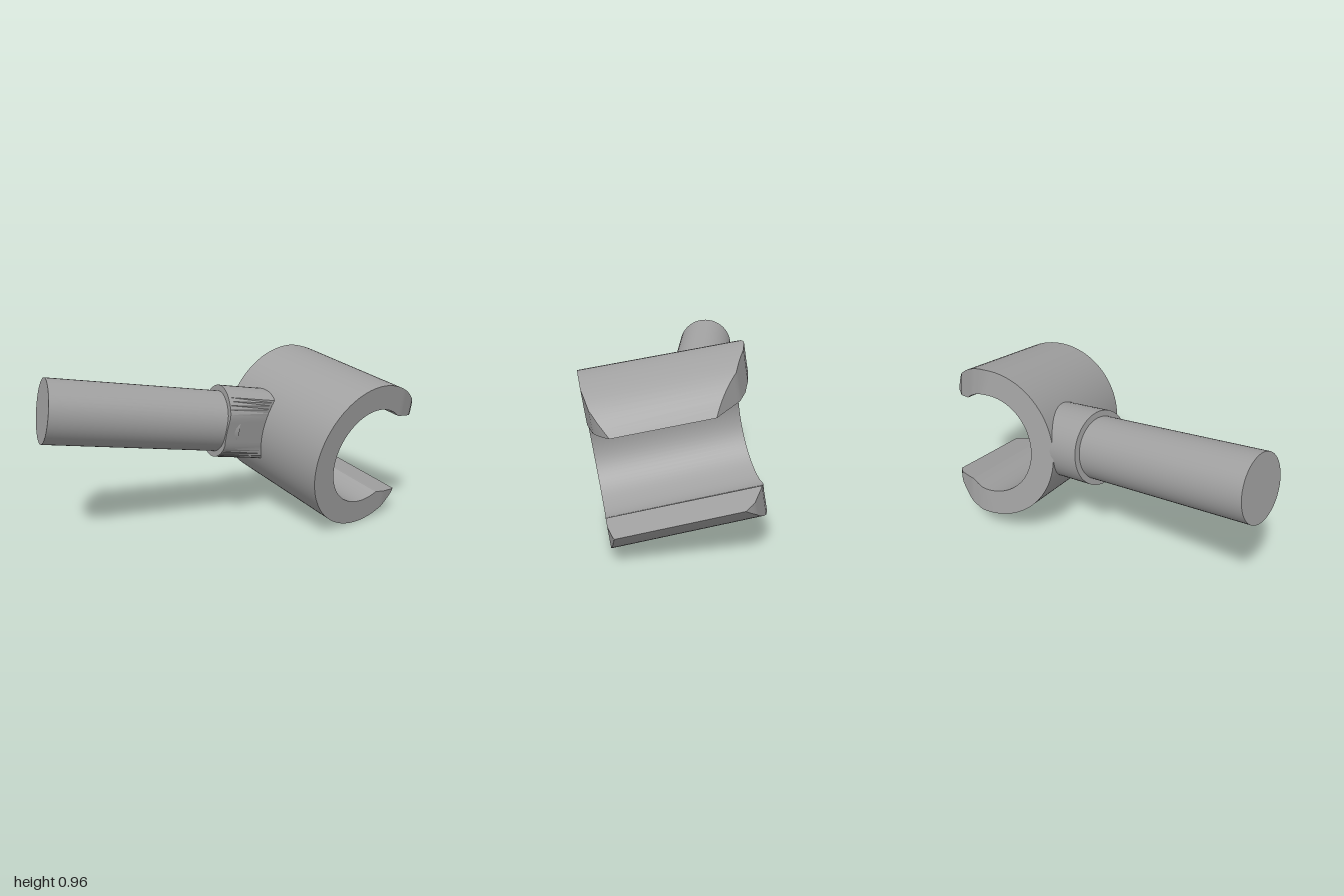
import * as THREE from 'three';
import { toCreasedNormals } from 'three/addons/utils/BufferGeometryUtils.js';

// Piecewise linear lookup in a list of [key, value] points
function lookup(points, k) {
  for (let i = 1; i < points.length; i++) {
    const [k0, a] = points[i - 1], [k1, b] = points[i];
    if (k <= k1) return THREE.MathUtils.mapLinear(Math.max(k, k0), k0, k1, a, b);
  }
  return points[points.length - 1][1];
}

// C-shaped clip, along local x with its gap towards -z; arm ends are trimmed by depth v = -z
function clipGeometry() {
  const R = 0.424, r = 0.284;
  const leftEnd = [[0.03, -0.392], [0.13, -0.36], [0.26, -0.285], [0.385, -0.145]];
  const rightEnd = [[0.2, 0.392], [0.3, 0.375], [0.35, 0.345], [0.385, 0.31]];
  const lowLip = [[0.12, -0.257], [0.31, -0.289]];
  const topLip = [[0.18, 0.22], [0.383, 0.182]];
  const outer = [], inner = [];
  const lipPoint = (lip, sign, t) => {
    const v = THREE.MathUtils.lerp(lip[0][0], lip[1][0], t);
    outer.push([v, sign * Math.sqrt(R * R - v * v)]);
    inner.push(t === 1 ? outer[outer.length - 1] : [v, lookup(lip, v)]);
  };

  const lipSteps = 10, arcSteps = 56;
  for (let i = lipSteps; i > 0; i--) lipPoint(lowLip, -1, i / lipSteps);
  const start = [Math.acos(0.12 / R), Math.acos(0.12 / r)];
  const end = [Math.acos(0.18 / R), Math.acos(0.18 / r)];
  for (let i = 0; i <= arcSteps; i++) {
    [[R, outer], [r, inner]].forEach(([rad, list], k) => {
      const a = THREE.MathUtils.lerp(-start[k], end[k] - 2 * Math.PI, i / arcSteps);
      list.push([rad * Math.cos(a), rad * Math.sin(a)]);
    });
  }
  for (let i = 1; i <= lipSteps; i++) lipPoint(topLip, 1, i / lipSteps);

  const pos = [];
  const at = ([v, y], profile) => [lookup(profile, v), y, -v];
  const quad = (a, b, c, d) => pos.push(...a, ...b, ...c, ...a, ...c, ...d);
  for (let i = 0; i < outer.length - 1; i++) {
    const [oL, oL2, iL, iL2] = [outer[i], outer[i + 1], inner[i], inner[i + 1]].map(p => at(p, leftEnd));
    const [oR, oR2, iR, iR2] = [outer[i], outer[i + 1], inner[i], inner[i + 1]].map(p => at(p, rightEnd));
    quad(oL, oR, oR2, oL2);
    quad(iL2, iR2, iR, iL);
    quad(oR, iR, iR2, oR2);
    quad(oL2, iL2, iL, oL);
  }
  const g = new THREE.BufferGeometry();
  g.setAttribute('position', new THREE.Float32BufferAttribute(pos, 3));
  return toCreasedNormals(g, 0.5);
}

// Cylinder between two points
function rod(a, b, radius) {
  const dir = b.clone().sub(a);
  const g = new THREE.CylinderGeometry(radius, radius, dir.length(), 48);
  g.applyQuaternion(new THREE.Quaternion().setFromUnitVectors(new THREE.Vector3(0, 1, 0), dir.normalize()));
  const mid = a.clone().add(b).multiplyScalar(0.5);
  return g.translate(mid.x, mid.y, mid.z);
}

export function createModel() {
  const model = new THREE.Group();
  const grey = new THREE.MeshStandardMaterial({ color: 0xa0a0a0 });
  grey.name = 'grey';
  const add = (name, geometry) => {
    const mesh = new THREE.Mesh(geometry, grey);
    mesh.name = name;
    model.add(mesh);
    return mesh;
  };

  // Clip, tilted along its axis
  const axis = new THREE.Vector3(0.987, -0.16, 0.019).normalize();
  const back = new THREE.Vector3().crossVectors(axis, new THREE.Vector3(0.16, 0.987, 0)).normalize();
  const up = new THREE.Vector3().crossVectors(back, axis);
  const clip = add('clip', clipGeometry());
  clip.quaternion.setFromRotationMatrix(new THREE.Matrix4().makeBasis(axis, up, back));
  clip.position.set(0.0975, 0.4885, -0.608);

  // Handle peg
  const tip = new THREE.Vector3(-0.388, 0.768, 0.948);
  const dir = new THREE.Vector3(0.267, -0.17, -1);
  const along = t => tip.clone().addScaledVector(dir, t);
  add('peg', rod(tip, along(1.0), 0.173));

  // Collar joining peg and clip, flattened on one side
  let collar = rod(along(0.928), along(1.222), 0.206);
  const p = new THREE.Vector3(), pos = collar.attributes.position;
  for (let i = 0; i < pos.count; i++) {
    p.fromBufferAttribute(pos, i);
    p.addScaledVector(axis, -Math.max(0, p.dot(axis) + 0.056));
    pos.setXYZ(i, p.x, p.y, p.z);
  }
  collar = toCreasedNormals(collar, 0.35);
  add('collar', collar);

  return model;
}
